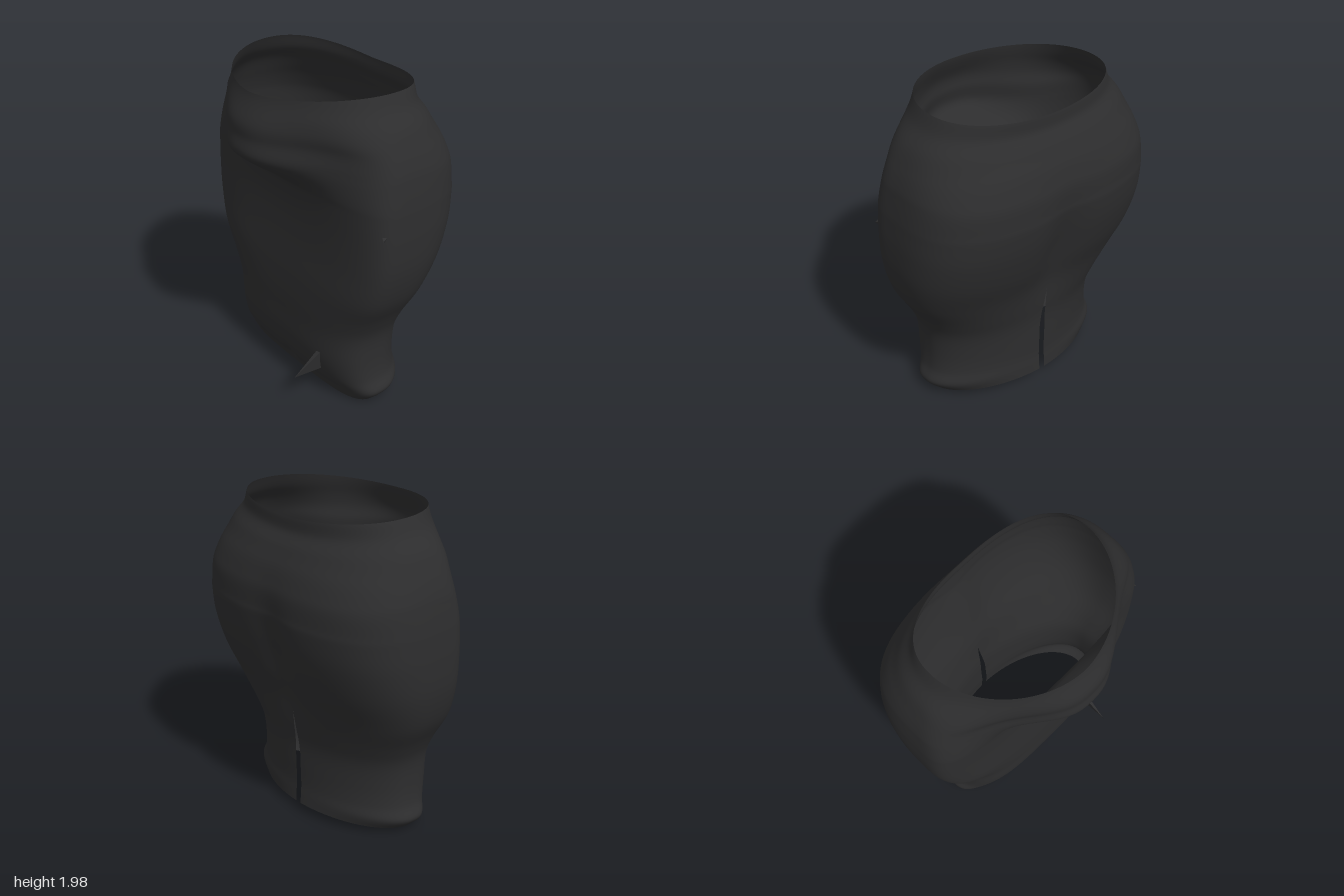
import * as THREE from 'three';
import { mergeVertices } from 'three/addons/utils/BufferGeometryUtils.js';

// Cross-sections: height, half width, front depth, back depth,
// front squareness, back squareness, front bulge
const SECTIONS = [
  [0.00, 0.605, 0.18, 0.35, 3.5, 1.9, 0],
  [0.07, 0.660, 0.21, 0.345, 3.2, 1.9, 0],
  [0.16, 0.625, 0.26, 0.34, 3.3, 1.9, 0],
  [0.30, 0.612, 0.295, 0.342, 3.3, 1.9, 0],
  [0.48, 0.622, 0.302, 0.348, 3.3, 2.0, 0],
  [0.62, 0.675, 0.305, 0.372, 3.5, 2.2, 0],
  [0.80, 0.770, 0.30, 0.412, 4.0, 2.5, 0],
  [1.00, 0.822, 0.285, 0.485, 4.2, 2.8, 0],
  [1.20, 0.834, 0.28, 0.54, 4.2, 3.0, 0],
  [1.36, 0.828, 0.285, 0.566, 4.0, 3.0, 0.01],
  [1.43, 0.822, 0.29, 0.566, 3.8, 3.0, 0.06],
  [1.53, 0.808, 0.29, 0.562, 3.4, 3.0, 0.205],
  [1.60, 0.795, 0.29, 0.546, 3.1, 2.9, 0.27],
  [1.70, 0.760, 0.30, 0.512, 2.8, 2.7, 0.25],
  [1.79, 0.710, 0.38, 0.455, 2.2, 2.5, 0.175],
  [1.87, 0.630, 0.47, 0.38, 1.95, 2.4, 0.075],
  [1.95, 0.585, 0.53, 0.36, 1.85, 2.4, 0],
];
const ROWS = 96, COLS = 128;
const smooth = THREE.MathUtils.smoothstep;
const bump = (d, width, power = 2) => Math.exp(-(Math.abs(d / width) ** power));

// Smooth interpolation of the sections at row fraction t
function sectionAt(t) {
  const f = t * (SECTIONS.length - 1);
  const i = Math.min(Math.floor(f), SECTIONS.length - 2), u = f - i;
  const pick = (k) => SECTIONS[THREE.MathUtils.clamp(k, 0, SECTIONS.length - 1)];
  return SECTIONS[i].map((_, c) => {
    const a = pick(i - 1)[c], b = pick(i)[c], d = pick(i + 1)[c], e = pick(i + 2)[c];
    return b + 0.5 * u * (d - a + u * (2 * a - 5 * b + 4 * d - e + u * (3 * (b - d) + e - a)));
  });
}

// Point on the cloth; s runs once around, starting at the back seam
function clothPoint(s, t) {
  const [y0, w, front, back, nf, nb, bulge] = sectionAt(t);
  // The seam opens into a slit below the seat
  const gap = 0.032 * THREE.MathUtils.clamp((0.72 - y0) / 0.3, 0, 1);
  const a = gap + s * (2 * Math.PI - 2 * gap);
  const sx = Math.sin(a), cz = -Math.cos(a);
  const isFront = cz > 0, n = isFront ? nf : nb;
  const r = (Math.abs(sx) ** n + Math.abs(cz) ** n) ** (-1 / n);
  const x = w * r * sx;
  // The waist sits slightly further back
  let z = (isFront ? front : back) * r * cz - 0.05 * smooth(y0, 1.72, 1.95);
  if (isFront) {
    // Belly bulge and a small tuck at the hem
    z += bulge * bump(x, 0.36, 2.5) * smooth(cz, 0, 0.3);
    z -= 0.02 * bump(x, 0.03) * bump(y0 - 0.1, 0.06);
  } else {
    // Groove down the middle of the seat
    z += 0.05 * bump(y0 - 1.1, 0.36) * bump(x, 0.14);
  }
  // Hem rises to the back, waist rises at the sides
  const hem = (0.01 + 0.11 * (0.2 - z)) * (1 - smooth(y0, 0, 0.5));
  const rim = (0.045 * Math.abs(x / 0.59) ** 1.5 - 0.005) * smooth(y0, 1.7, 1.95);
  return [x, y0 + hem + rim, z];
}

function clothGeometry() {
  const pos = [], index = [];
  for (let j = 0; j <= ROWS; j++)
    for (let i = 0; i <= COLS; i++) pos.push(...clothPoint(i / COLS, j / ROWS));
  for (let j = 0; j < ROWS; j++)
    for (let i = 0; i < COLS; i++) {
      const p = j * (COLS + 1) + i, q = p + COLS + 1;
      index.push(p, p + 1, q, p + 1, q + 1, q);
    }
  const g = new THREE.BufferGeometry();
  g.setAttribute('position', new THREE.Float32BufferAttribute(pos, 3));
  g.setIndex(index);
  const welded = mergeVertices(g, 1e-5);
  welded.computeVertexNormals();
  return welded;
}

// Small pulled point of cloth: a tip over a triangular base
function pinchGeometry(tip, a, b, c) {
  const g = new THREE.BufferGeometry();
  g.setAttribute('position', new THREE.Float32BufferAttribute(
    [a, c, tip, c, b, tip, b, a, tip].flat(), 3));
  g.computeVertexNormals();
  return g;
}

export function createModel() {
  const group = new THREE.Group();
  group.name = 'pencilSkirt';
  const cloth = new THREE.MeshStandardMaterial({ color: 0x2d2d2e, side: THREE.DoubleSide });
  cloth.name = 'charcoalCloth';
  const add = (name, geometry) => {
    const mesh = new THREE.Mesh(geometry, cloth);
    mesh.name = name;
    group.add(mesh);
  };

  add('skirtBody', clothGeometry());
  add('hemPinch', pinchGeometry([0.36, 0.22, 0.46], [0.345, 0.34, 0.27], [0.375, 0.34, 0.27], [0.36, 0.2, 0.24]));
  add('sidePinch', pinchGeometry([0.815, 1.27, 0.19], [0.75, 1.32, 0.17], [0.8, 1.32, 0.1], [0.78, 1.22, 0.13]));
  return group;
}
